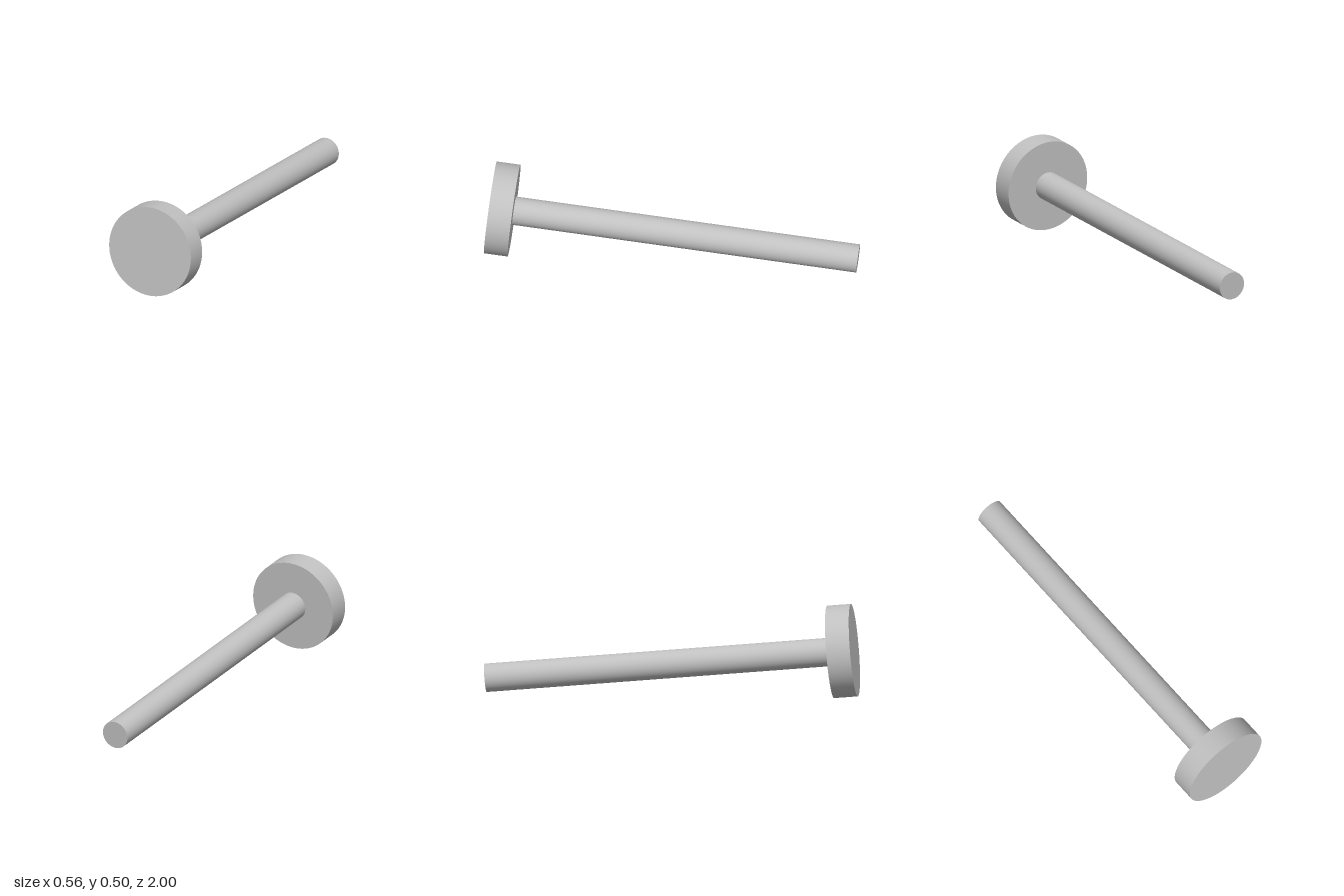
import * as THREE from 'three';

export function createModel() {
  const group = new THREE.Group();
  const grey = new THREE.MeshStandardMaterial({ color: 0xc0c0c0 });
  grey.name = 'plain grey';

  // Shared axis from the head's front face to the tip of the shaft
  const front = new THREE.Vector3(-0.035, 0.2575, 0.963);
  const tip = new THREE.Vector3(0.203, 0.079, -0.989);
  const length = front.distanceTo(tip);
  const axis = tip.clone().sub(front).normalize();
  const headDepth = 0.127;

  // Solid round bar between two distances along the axis
  function bar(name, radius, from, to) {
    const mesh = new THREE.Mesh(new THREE.CylinderGeometry(radius, radius, to - from, 96), grey);
    mesh.name = name;
    mesh.quaternion.setFromUnitVectors(new THREE.Vector3(0, 1, 0), axis);
    mesh.position.copy(front).addScaledVector(axis, (from + to) / 2);
    group.add(mesh);
  }

  bar('head', 0.2465, 0, headDepth);
  bar('shaft', 0.0757, headDepth, length);
  return group;
}
